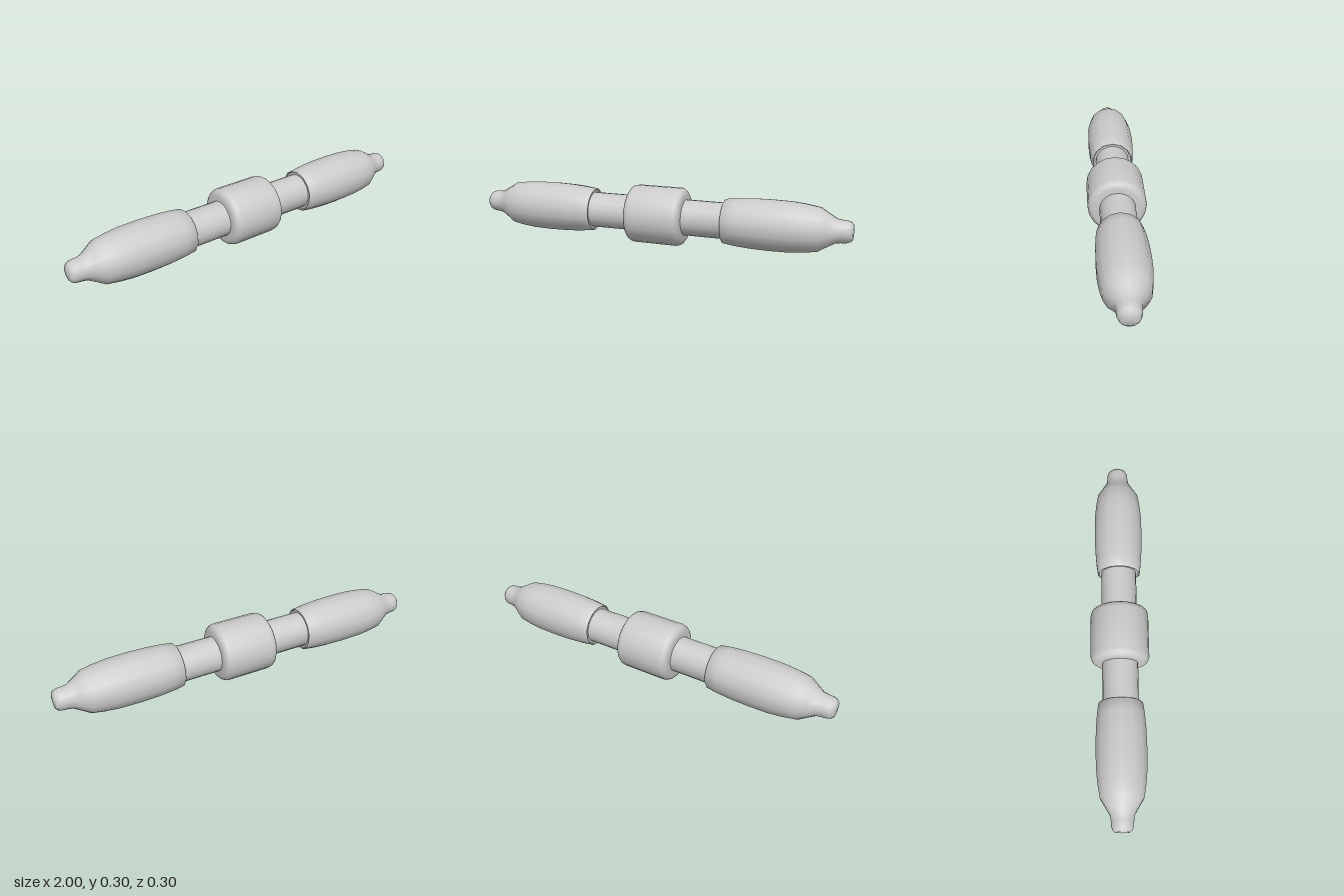
import * as THREE from 'three';
import { toCreasedNormals } from 'three/addons/utils/BufferGeometryUtils.js';

const AXIS_Y = 0.152;

// Turned part along x; profile is a list of [x, radius] with x increasing
function turned(name, profile, sides, material) {
  const points = profile.map(([x, r]) => new THREE.Vector2(r, x));
  const lathe = new THREE.LatheGeometry(points, sides, Math.PI / 2);
  lathe.rotateZ(-Math.PI / 2);
  const mesh = new THREE.Mesh(toCreasedNormals(lathe, 0.75), material);
  mesh.name = name;
  return mesh;
}

export function createModel() {
  const group = new THREE.Group();
  group.name = 'doubleHandledBar';
  const material = new THREE.MeshStandardMaterial({ color: 0xcccccc });

  // Central collar with rounded rims
  const half = 0.15, radius = 0.152, round = 0.036;
  const rim = [];
  for (let i = 0; i <= 4; i++) {
    const a = (i / 4) * Math.PI / 2;
    rim.push([half - round + round * Math.cos(a), radius - round + round * Math.sin(a)]);
  }
  const collar = [
    [-half, 0],
    ...rim.map(([x, r]) => [-x, r]),
    ...rim.slice().reverse(),
    [half, 0],
  ];
  group.add(turned('collar', collar, 20, material));

  // Shaft running through the collar into both handles
  group.add(turned('shaft', [[-0.42, 0], [-0.42, 0.093], [0.42, 0.093], [0.42, 0]], 20, material));

  // Barrel-shaped handle with a narrow knob at the outer end
  const handle = [
    [0.362, 0], [0.362, 0.106], [0.357, 0.11], [0.362, 0.115],
    [0.42, 0.123], [0.5, 0.129], [0.6, 0.131], [0.7, 0.129], [0.77, 0.122], [0.835, 0.111],
    [0.875, 0.086], [0.915, 0.062], [0.94, 0.058], [0.968, 0.056],
    [0.985, 0.05], [0.996, 0.038], [1, 0],
  ];
  for (const [name, turn] of [['leftHandle', 0], ['rightHandle', Math.PI]]) {
    const mesh = turned(name, handle, 14, material);
    mesh.rotation.y = turn;
    group.add(mesh);
  }

  for (const part of group.children) part.position.y = AXIS_Y;
  return group;
}
